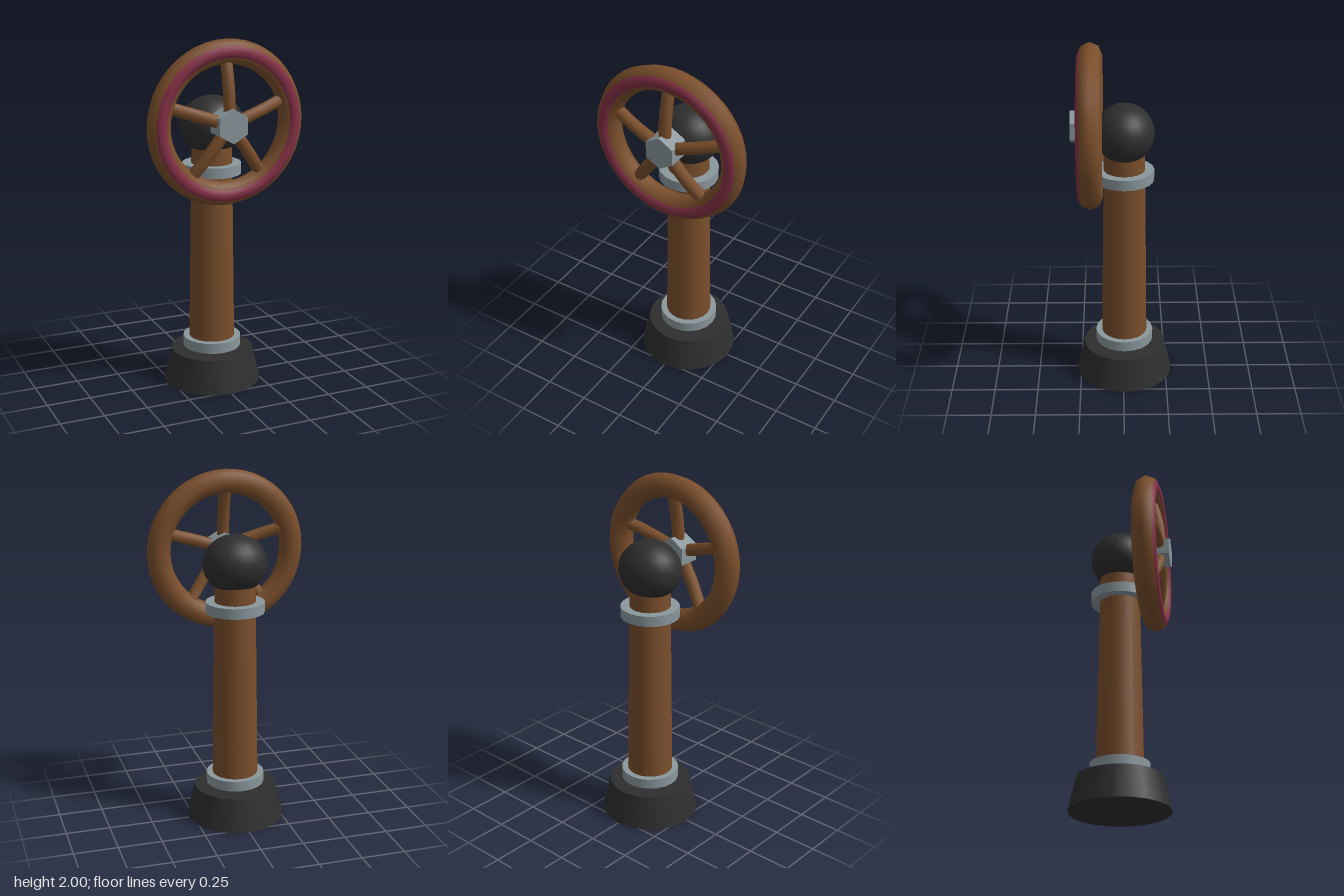
import * as THREE from 'three';

const material = (name, color) => {
  const m = new THREE.MeshStandardMaterial({ color });
  m.name = name;
  return m;
};

export function createModel() {
  const brown = material('brown', 0x7a4e2b);
  const crimson = material('crimson', 0x853046);
  const steel = material('steel grey', 0x8a979c);
  const black = material('black', 0x2e2e2e);

  const model = new THREE.Group();
  model.name = 'valveWheelStand';

  const add = (parent, name, geometry, mat, x = 0, y = 0, z = 0) => {
    const mesh = new THREE.Mesh(geometry, mat);
    mesh.name = name;
    mesh.position.set(x, y, z);
    parent.add(mesh);
    return mesh;
  };

  // Upright: tapered foot, column, two collars and the ball joint
  const stand = new THREE.Group();
  stand.name = 'stand';
  stand.position.z = -0.006;
  model.add(stand);

  const turned = (name, rTop, rBottom, y0, y1, mat) =>
    add(stand, name, new THREE.CylinderGeometry(rTop, rBottom, y1 - y0, 20), mat, 0, (y0 + y1) / 2, 0);

  turned('foot', 0.236, 0.28, 0, 0.19, black);
  turned('column', 0.113, 0.132, 0.18, 1.45, brown);
  turned('lowerCollar', 0.166, 0.166, 0.206, 0.266, steel);
  turned('upperCollar', 0.166, 0.166, 1.232, 1.292, steel);

  const ball = add(stand, 'ball', new THREE.SphereGeometry(1, 24, 16), black, 0, 1.506, 0);
  ball.scale.set(0.182, 0.164, 0.166);

  // Wheel: octagonal-section rim with a crimson band let into its front
  const wheel = new THREE.Group();
  wheel.name = 'wheel';
  wheel.position.set(0, 1.545, 0);
  model.add(wheel);

  add(wheel, 'rim', new THREE.TorusGeometry(0.387, 0.068, 8, 48), brown, 0, 0, 0.181);
  add(wheel, 'rimBand', new THREE.TorusGeometry(0.39, 0.042, 8, 48), crimson, 0, 0, 0.209);

  // Six-sided hub with a corner pointing up
  const hub = new THREE.CylinderGeometry(0.094, 0.094, 0.125, 6).toNonIndexed();
  hub.computeVertexNormals();
  hub.rotateX(Math.PI / 2);
  add(wheel, 'hub', hub, steel, 0, 0, 0.2275);

  // Five spokes, bowed forward between hub and rim
  const bow = new THREE.QuadraticBezierCurve3(
    new THREE.Vector3(0, 0.03, 0.232),
    new THREE.Vector3(0, 0.23, 0.23),
    new THREE.Vector3(0, 0.385, 0.165),
  );
  const spoke = new THREE.TubeGeometry(bow, 10, 0.035, 8);
  for (let i = 0; i < 5; i++) {
    add(wheel, 'spoke', spoke, brown).rotation.z = (i * 2 * Math.PI) / 5;
  }

  return model;
}
